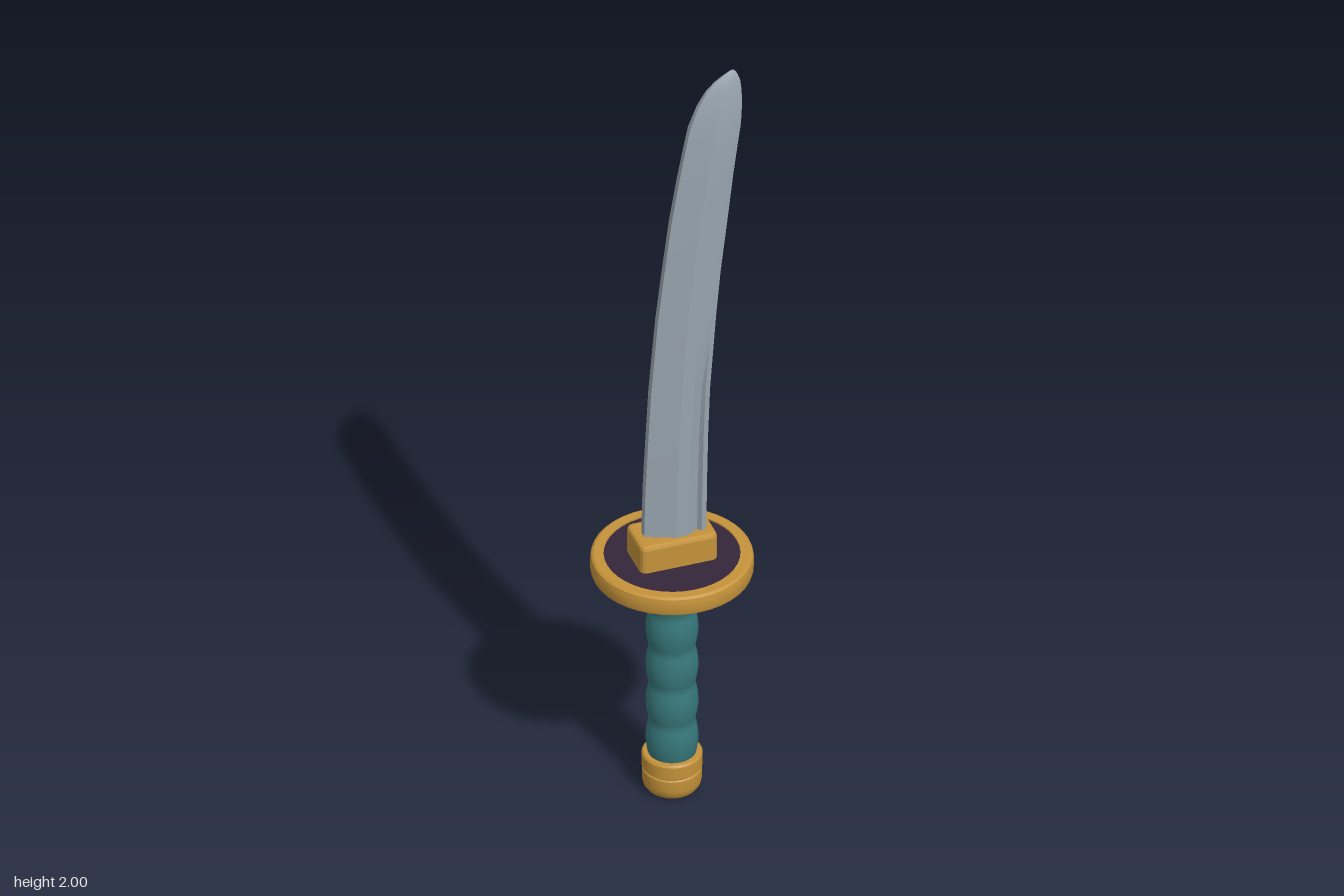
import * as THREE from 'three';
import { mergeVertices, toCreasedNormals } from 'three/addons/utils/BufferGeometryUtils.js';

const steel = new THREE.MeshStandardMaterial({ color: 0x98a4ae });
const gold = new THREE.MeshStandardMaterial({ color: 0xc4923a });
const teal = new THREE.MeshStandardMaterial({ color: 0x37777a });
const plum = new THREE.MeshStandardMaterial({ color: 0x35263a });
steel.name = 'steel';
gold.name = 'gold';
teal.name = 'teal';
plum.name = 'dark plum';

function addPart(group, name, geometry, material) {
  const mesh = new THREE.Mesh(geometry, material);
  mesh.name = name;
  group.add(mesh);
  return mesh;
}

// Turned part from [radius, height] pairs, bottom to top, with sharp edges kept
function turned(profile, sides = 32, crease = 0.5) {
  const points = profile.map(([r, y]) => new THREE.Vector2(r, y));
  return toCreasedNormals(new THREE.LatheGeometry(points, sides), crease);
}

// Curved blade: faceted sections stacked between the cutting edge and the spine
function bladeGeometry() {
  // height, cutting edge x, spine x, half thickness scale
  const stations = [
    [0.70, -0.073, 0.075, 1], [0.86, -0.069, 0.077, 1], [1.00, -0.062, 0.08, 0.99],
    [1.13, -0.055, 0.085, 0.98], [1.25, -0.045, 0.094, 0.96], [1.33, -0.038, 0.1, 0.95],
    [1.45, -0.024, 0.111, 0.93], [1.60, -0.005, 0.129, 0.9], [1.72, 0.015, 0.143, 0.87],
    [1.80, 0.03, 0.154, 0.83], [1.86, 0.042, 0.163, 0.77], [1.915, 0.063, 0.167, 0.63],
    [1.95, 0.083, 0.167, 0.48], [1.975, 0.106, 0.165, 0.33], [1.99, 0.127, 0.16, 0.2],
    [2.0, 0.143, 0.153, 0.06],
  ];
  const positions = [];
  const index = [];
  for (const [y, edge, spine, thick] of stations) {
    // The groove beside the spine fades out along the lower half
    const groove = THREE.MathUtils.clamp((1.33 - y) / 0.25, 0, 1);
    const half = [
      [0, 0.01], [0.47, 0.038], [0.68, 0.037],
      [0.86, 0.032 - 0.012 * groove], [0.91, 0.031], [1, 0.026],
    ];
    const loop = [...half, ...half.map(([u, z]) => [u, -z]).reverse()];
    for (const [u, z] of loop) positions.push(edge + (spine - edge) * u, y, z * thick);
  }
  const n = 12;
  for (let j = 0; j < stations.length - 1; j++) {
    for (let i = 0; i < n; i++) {
      const a = j * n + i;
      const b = j * n + (i + 1) % n;
      index.push(a, b, b + n, a, b + n, a + n);
    }
  }
  // Close both ends
  const top = (stations.length - 1) * n;
  for (let i = 1; i < n - 1; i++) {
    index.push(top, top + i, top + i + 1, 0, i + 1, i);
  }
  const geometry = new THREE.BufferGeometry();
  geometry.setAttribute('position', new THREE.Float32BufferAttribute(positions, 3));
  geometry.setIndex(index);
  return toCreasedNormals(mergeVertices(geometry), 0.22);
}

// Rounded rectangular block with bevelled rims, standing on its base
function collarGeometry(width, depth, height, bevel) {
  const x = width / 2 - bevel;
  const y = depth / 2 - bevel;
  const r = 0.008;
  const shape = new THREE.Shape();
  shape.moveTo(-x + r, -y);
  shape.lineTo(x - r, -y);
  shape.quadraticCurveTo(x, -y, x, -y + r);
  shape.lineTo(x, y - r);
  shape.quadraticCurveTo(x, y, x - r, y);
  shape.lineTo(-x + r, y);
  shape.quadraticCurveTo(-x, y, -x, y - r);
  shape.lineTo(-x, -y + r);
  shape.quadraticCurveTo(-x, -y, -x + r, -y);
  const geometry = new THREE.ExtrudeGeometry(shape, {
    depth: height - 2 * bevel, bevelEnabled: true, bevelSize: bevel,
    bevelThickness: bevel, bevelSegments: 2, curveSegments: 4,
  });
  geometry.translate(0, 0, bevel);
  geometry.rotateX(-Math.PI / 2);
  return geometry;
}

export function createModel() {
  const sword = new THREE.Group();
  sword.name = 'sword';

  addPart(sword, 'blade', bladeGeometry(), steel);

  // Block holding the blade
  const collar = addPart(sword, 'bladeCollar', collarGeometry(0.19, 0.112, 0.085, 0.009), gold);
  collar.position.y = 0.645;

  // Guard: gold rim around a dark disc
  const guard = new THREE.Group();
  guard.name = 'guard';
  sword.add(guard);
  addPart(guard, 'guardRim', turned([
    [0.159, 0.613], [0.182, 0.613], [0.188, 0.617], [0.19, 0.623], [0.19, 0.652],
    [0.188, 0.659], [0.182, 0.663], [0.159, 0.663], [0.159, 0.613],
  ], 40), gold);
  const disc = addPart(guard, 'guardDisc', new THREE.CylinderGeometry(0.16, 0.16, 0.042, 40), plum);
  disc.position.y = 0.638;

  // Ring between guard and grip
  addPart(sword, 'gripRing', turned([
    [0, 0.602], [0.064, 0.602], [0.069, 0.606], [0.069, 0.62], [0, 0.62],
  ]), gold);

  // Grip with evenly spaced swellings
  const grip = [];
  const steps = 50;
  for (let i = 0; i <= steps; i++) {
    const t = i / steps;
    const swelling = Math.abs(Math.sin(t * Math.PI * 5));
    grip.push([0.054 + 0.0075 * swelling, 0.09 + 0.52 * t]);
  }
  addPart(sword, 'grip', turned(grip, 32, 0.8), teal);

  // Pommel cap with a shallow seam
  addPart(sword, 'pommel', turned([
    [0, 0], [0.052, 0], [0.06, 0.004], [0.067, 0.014], [0.07, 0.028], [0.07, 0.056],
    [0.067, 0.06], [0.071, 0.064], [0.071, 0.097], [0.067, 0.102], [0, 0.102],
  ]), gold);

  return sword;
}
